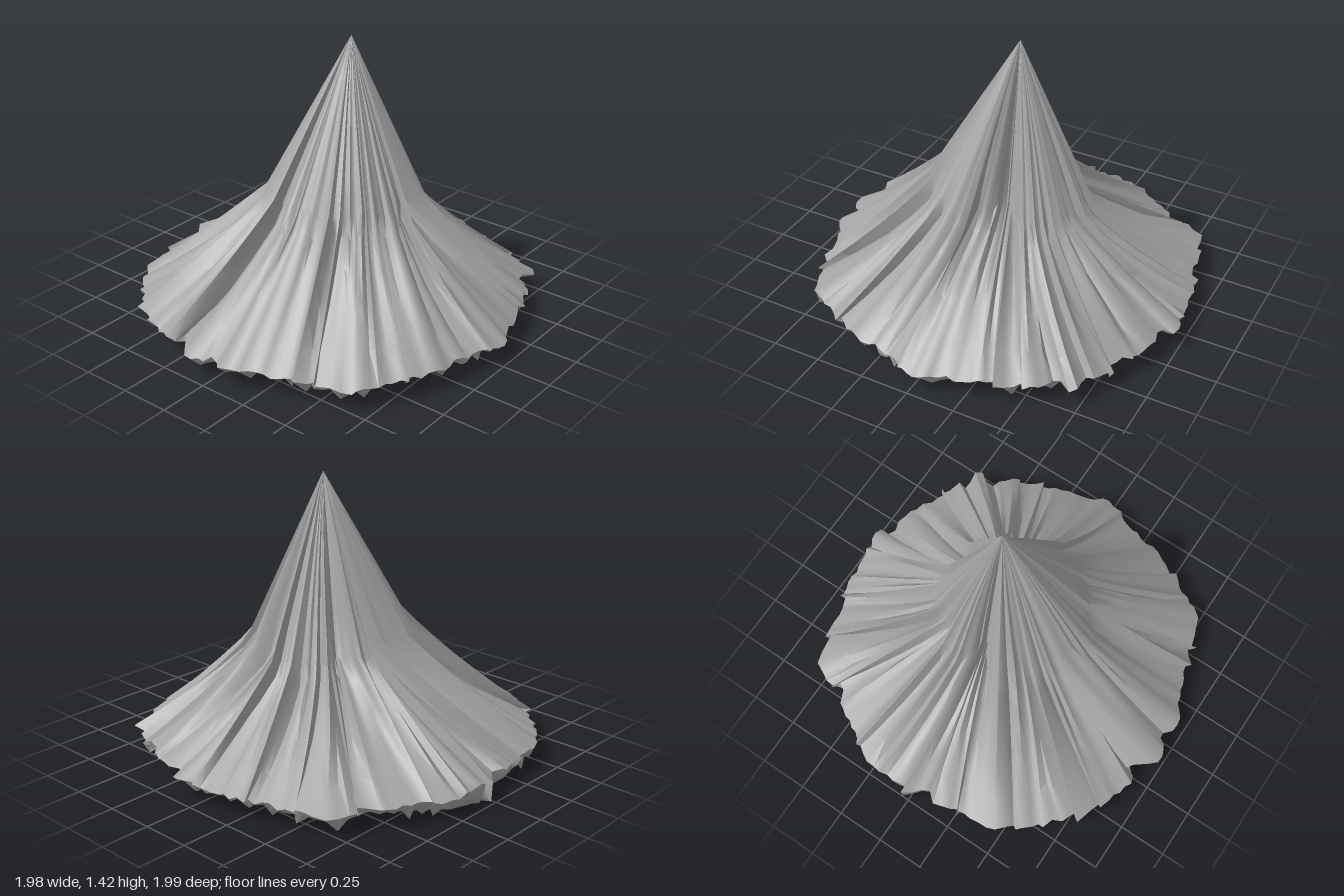
import * as THREE from 'three';
import { toCreasedNormals } from 'three/addons/utils/BufferGeometryUtils.js';

const COLS = 180, TAU = Math.PI * 2;
const APEX = [0.08, 1.42, 0.02];

// ragged hem outline, x and z pairs going round from +x towards +z
const HEM = [[0.96, 0.01], [1, 0.09], [0.92, 0.2], [0.91, 0.33], [0.83, 0.42], [0.83, 0.57], [0.72, 0.62], [0.74, 0.73],
  [0.62, 0.72], [0.45, 0.84], [0.3, 0.9], [0.13, 0.92], [0.04, 0.99], [-0.17, 0.93], [-0.28, 0.88], [-0.48, 0.83],
  [-0.54, 0.76], [-0.73, 0.7], [-0.84, 0.38], [-0.9, 0.2], [-0.97, 0.1], [-0.9, 0.02], [-1, -0.12], [-0.91, -0.2],
  [-0.9, -0.36], [-0.78, -0.62], [-0.63, -0.79], [-0.2, -0.95], [-0.05, -0.94], [0.03, -1], [0.25, -0.97], [0.4, -0.88],
  [0.6, -0.75], [0.81, -0.69], [0.88, -0.4], [0.95, -0.2]];

// kink below the peak, [radius, height] at +x, +z, -x, -z
const WAIST = [[0.38, 0.54], [0.4, 0.66], [0.44, 0.66], [0.41, 0.59]];

// gullies running down the peak, [angle, width, depth]
const GULLIES = [[1.27, 0.2, 0.42], [4.6, 0.22, 0.36], [5.35, 0.15, 0.25], [0.3, 0.1, 0.15]];

function seeded(seed) {
  return () => (seed = (seed * 16807) % 2147483647) / 2147483647;
}

const lerp = THREE.MathUtils.lerp;
const wrap = (a) => ((a % TAU) + TAU) % TAU;
const bell = (a, mid, width) => Math.exp(-(((a - mid) / width) ** 2));
const hemPolar = HEM.map(([x, z]) => [wrap(Math.atan2(z, x)), Math.hypot(x, z)]).sort((p, q) => p[0] - q[0]);

function hemRadius(a) {
  const n = hemPolar.length;
  let k = hemPolar.findIndex((p) => p[0] > a);
  if (k < 0) k = n;
  const p = hemPolar[(k - 1 + n) % n], q = hemPolar[k % n];
  return lerp(p[1], q[1], wrap(a - p[0]) / wrap(q[0] - p[0]));
}

function waistAt(a) {
  const q = a / (TAU / 4), i = Math.floor(q) % 4, t = q - Math.floor(q);
  return [0, 1].map((c) => lerp(WAIST[i][c], WAIST[(i + 1) % 4][c], t));
}

// lopsided folds: steep on one side of a ridge, where they tuck under it, and gentle on the other
function makeFolds(minWidth, maxWidth, rand) {
  const folds = Array.from({ length: COLS }, () => ({ depth: 0, tuck: 0 }));
  for (let i = 0; i < COLS;) {
    const w = Math.min(COLS - i, minWidth + Math.floor(rand() * (maxWidth - minWidth + 1)));
    const deep = 0.2 + 0.8 * rand(), flip = rand() < 0.5;
    for (let k = 1; k < w; k++) {
      const depth = deep * Math.cos(((k - 1) / (w - 1)) * Math.PI * 0.5);
      folds[i + (flip ? w - k : k)] = { depth, tuck: flip ? depth : -depth };
    }
    i += w;
  }
  return folds;
}

// lofts a list of rings, each COLS points long, into one creased surface
function loft(rings, crease) {
  const index = [];
  for (let r = 0; r < rings.length - 1; r++) {
    for (let i = 0; i < COLS; i++) {
      const a = r * COLS + i, b = r * COLS + ((i + 1) % COLS);
      index.push(a, b, a + COLS, b, b + COLS, a + COLS);
    }
  }
  const g = new THREE.BufferGeometry();
  g.setAttribute('position', new THREE.Float32BufferAttribute(rings.flat(2), 3));
  g.setIndex(index);
  return toCreasedNormals(g, crease);
}

// underside: nearly level, dropping to a point at the back
function baseHeight(x, z) {
  const drop = Math.max(0, -z / 0.93) * Math.max(0, 1 - Math.abs(x) / 0.95);
  return Math.max(0, 0.09 - 0.09 * drop);
}

export function createModel() {
  const rand = seeded(90731);
  const broad = makeFolds(6, 15, rand), fine = makeFolds(3, 8, rand);
  const columns = Array.from({ length: COLS }, (_, i) => {
    const a = (i / COLS) * TAU;
    const calm = 1 - 0.65 * bell(a, 2.6, 0.8);
    return {
      a, calm, broad: broad[i], fine: fine[i], hem: hemRadius(a), waist: waistAt(a),
      gully: GULLIES.reduce((sum, [mid, width, depth]) => sum + depth * bell(a, mid, width), 0),
      raise: (rand() - 0.5) * 0.05, hang: rand() ** 5 * 0.06, jag: (rand() - 0.5) * 0.03,
    };
  });

  const ring = (fn) => columns.map(fn);
  const polar = (cx, cz, a, r, y) => [cx + r * Math.cos(a), y, cz + r * Math.sin(a)];
  const peakRadius = (c, gully) => c.waist[0] * (1 - c.calm * (0.2 * c.broad.depth + 0.06 * c.fine.depth) - gully);
  const rings = [];

  // peak: straight folds from the apex to the waist
  for (const t of [0, 0.25, 0.5, 0.75, 1]) {
    rings.push(ring((c) => polar(APEX[0] - 0.02 * t, APEX[2], c.a + 0.1 * c.calm * c.broad.tuck * t,
      t * peakRadius(c, c.gully), lerp(APEX[1], c.waist[1] + c.raise, t))));
  }
  // skirt: flares from the waist to the ragged hem
  for (const t of [0.15, 0.35, 0.55, 0.8, 1]) {
    rings.push(ring((c) => {
      const fold = (0.06 * c.broad.depth + 0.1 * c.fine.depth) * Math.sin(Math.PI * (0.2 + 0.65 * t));
      const r = lerp(peakRadius(c, c.gully * (1 - t)), c.hem + 0.02 + c.jag * 0.5, t) - fold;
      const y = lerp(c.waist[1] + c.raise, 0.105 + c.raise * 0.5, t) - 0.015 * Math.sin(Math.PI * t);
      const a = c.a + 0.1 * c.calm * c.broad.tuck * (1 - t) + 0.05 * c.fine.tuck * t;
      return polar(0.06 * (1 - t), APEX[2] * (1 - t), a, r, y);
    }));
  }

  // torn lip curling under the hem, then the underside closing to the middle
  const hem = rings[rings.length - 1];
  const rim = ring((c) => {
    const p = polar(0, 0, c.a, c.hem * 0.94, 0);
    p[1] = baseHeight(p[0], p[2]);
    return p;
  });
  const lip = ring((c, i) => polar(0, 0, c.a + 0.04 * c.fine.tuck, c.hem * 0.985 + c.jag - 0.03 * c.fine.depth,
    (hem[i][1] + rim[i][1]) / 2 - c.hang));
  const inner = [0.8, 0.55, 0.3, 0].map((s) => rim.map(([x, , z]) => [
    x * s, baseHeight(x * s, z * s) + 0.015 * (1 - s), z * s]));

  const material = new THREE.MeshStandardMaterial({ color: 0xa4a4a4, side: THREE.DoubleSide });
  const group = new THREE.Group();
  const add = (name, geometry) => {
    const mesh = new THREE.Mesh(geometry, material);
    mesh.name = name;
    group.add(mesh);
  };
  add('pleatedCone', loft(rings, 0.9));
  add('underside', loft([hem, lip, rim, ...inner], 1.4));
  return group;
}
